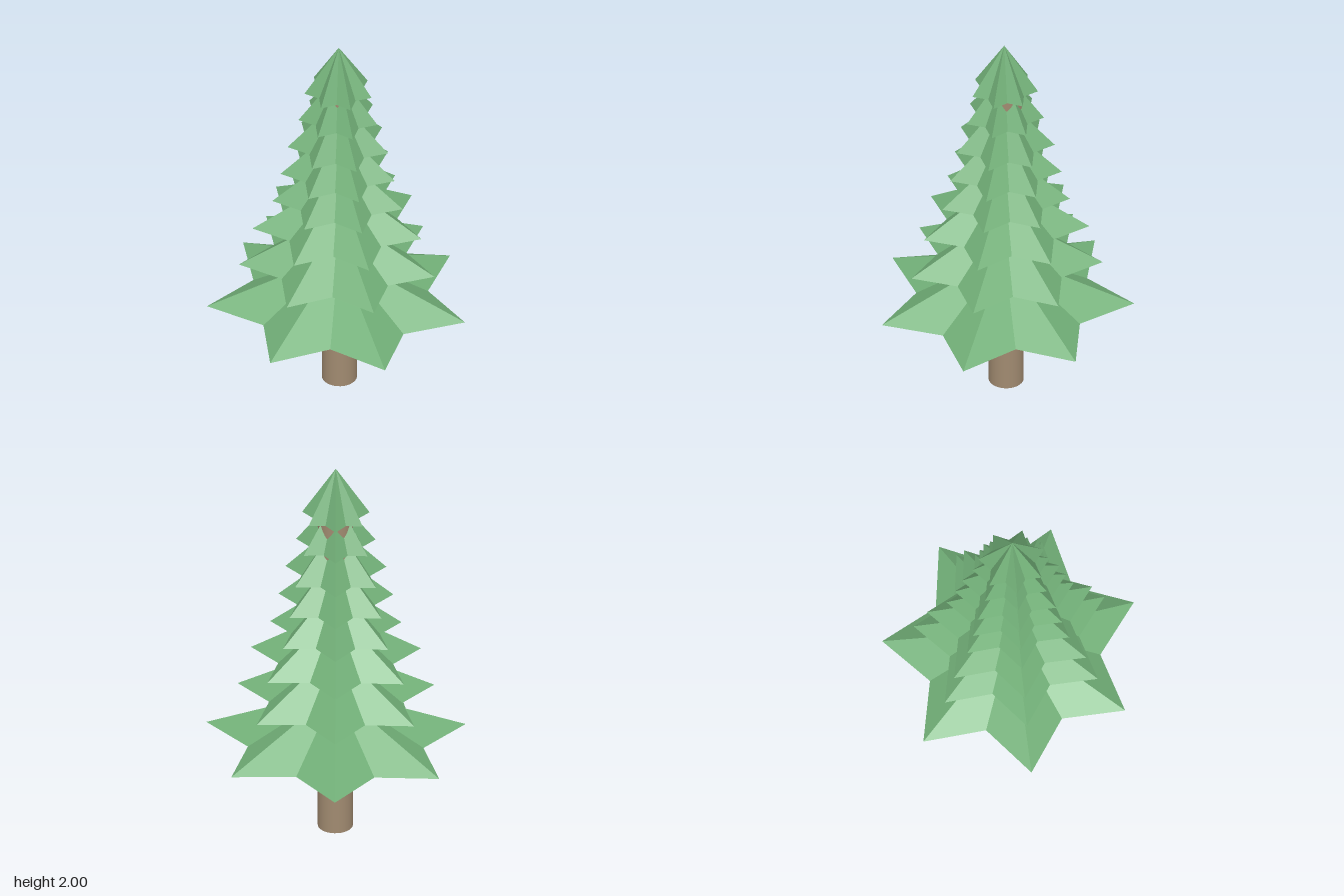
import * as THREE from 'three';

const POINTS = 7;          // points on each star-shaped tier
const VALLEY = 0.677;      // valley radius relative to tip radius
const TIER_HEIGHT = 0.265;
const CENTER_X = -0.034;

// Base height and tip radius of each tier, bottom to top
const TIERS = [
  [0.485, 0.65], [0.725, 0.493], [0.938, 0.426], [1.097, 0.329],
  [1.258, 0.288], [1.418, 0.253], [1.578, 0.199], [1.735, 0.169],
];

// Closed cone whose base is pulled in at every other corner to make a star
function starCone(radius, height) {
  const geometry = new THREE.ConeGeometry(radius, height, POINTS * 2);
  geometry.rotateY(Math.PI / 2); // first tip towards +x
  geometry.translate(0, height / 2, 0);
  const p = geometry.attributes.position;
  for (let i = 0; i < p.count; i++) {
    const corner = Math.round(Math.atan2(p.getZ(i), p.getX(i)) / (Math.PI / POINTS));
    const s = corner % 2 !== 0 ? VALLEY : 1;
    p.setXYZ(i, p.getX(i) * s, p.getY(i), p.getZ(i) * s * 0.978);
  }
  const flat = geometry.toNonIndexed();
  flat.computeVertexNormals();
  return flat;
}

export function createModel() {
  const tree = new THREE.Group();
  tree.name = 'pineTree';

  const needles = new THREE.MeshStandardMaterial({ color: 0x72b078, flatShading: true });
  const bark = new THREE.MeshStandardMaterial({ color: 0xa08a70 });

  // Trunk runs up to the base of the top tier
  const trunkHeight = 1.74;
  const trunk = new THREE.Mesh(new THREE.CylinderGeometry(0.086, 0.086, trunkHeight, 32), bark);
  trunk.name = 'trunk';
  trunk.position.set(CENTER_X, trunkHeight / 2, -0.01);
  tree.add(trunk);

  // Stacked branch tiers
  TIERS.forEach(([y, radius], i) => {
    const tier = new THREE.Mesh(starCone(radius, TIER_HEIGHT), needles);
    tier.name = `branchTier${i + 1}`;
    tier.position.set(CENTER_X, y, 0);
    tree.add(tier);
  });

  return tree;
}
